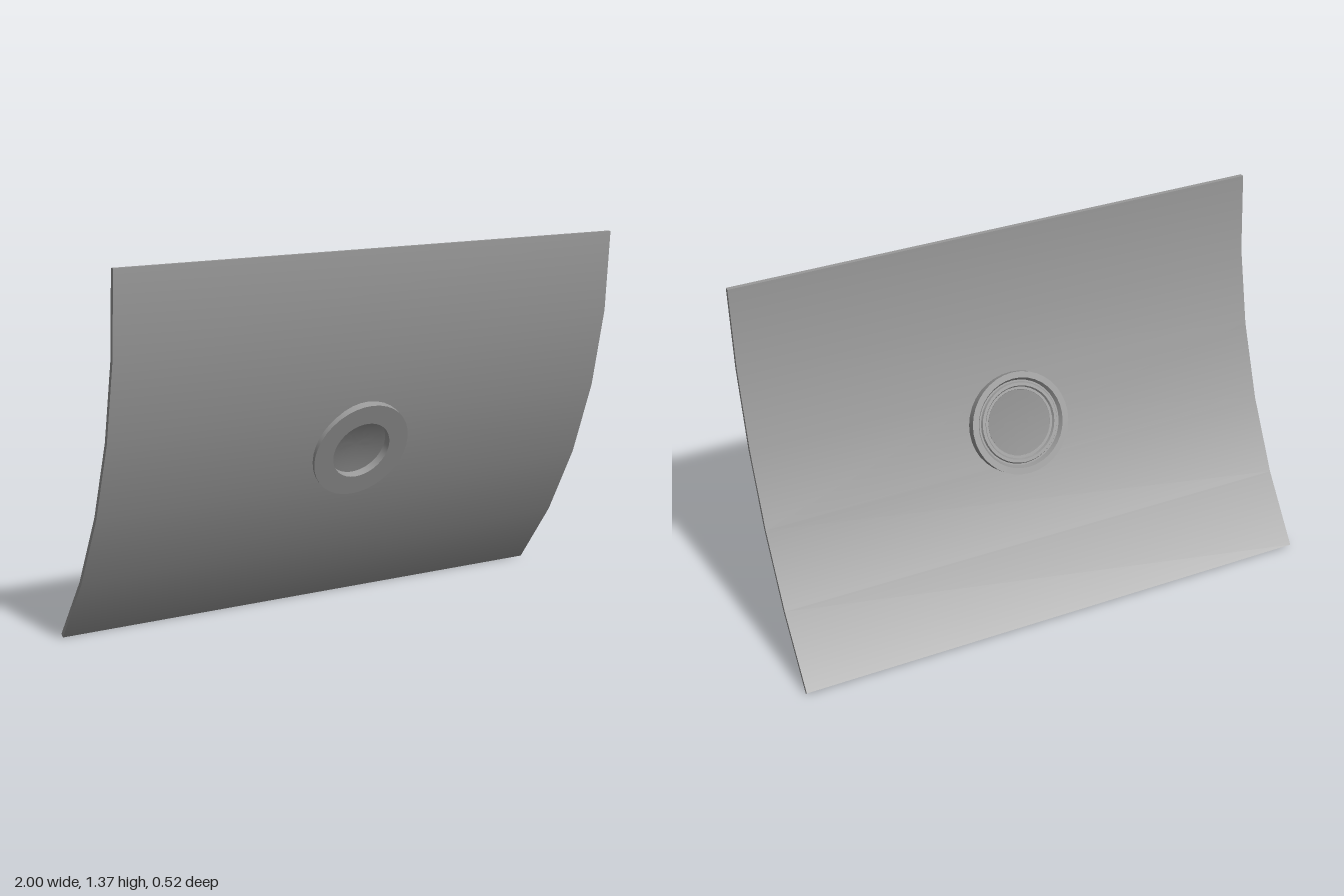
import * as THREE from 'three';
import { mergeGeometries, toCreasedNormals } from 'three/addons/utils/BufferGeometryUtils.js';

const grey = new THREE.MeshStandardMaterial({ color: 0x989898 });
const darkGrey = new THREE.MeshStandardMaterial({ color: 0x828282 });
const OUTER = 2.097, THICK = 0.016, PANELS = 5, STEP = THREE.MathUtils.degToRad(8.16);
const TOP = 1.37, AXIS_Z = 0.26 - OUTER;

// Point on the faceted arc; u counts panels down from the top edge
function place(x, u, r) {
  const i = Math.min(Math.floor(u), PANELS - 1), f = u - i;
  const a = i * STEP, b = a + STEP;
  return new THREE.Vector3(x,
    TOP - r * THREE.MathUtils.lerp(Math.sin(a), Math.sin(b), f),
    AXIS_Z + r * THREE.MathUtils.lerp(Math.cos(a), Math.cos(b), f));
}

// One panel of the front or back skin, with smooth normals along the curve
function skin(i, r, side) {
  const shape = new THREE.Shape([[-1, -i - 1], [1, -i - 1], [1, -i], [-1, -i]]
    .map(([x, y]) => new THREE.Vector2(x, y)));
  if (i === 2) {
    const hole = new THREE.Path();
    hole.absellipse(0, -2.5, 0.14, 0.14 / (2 * OUTER * Math.sin(STEP / 2)), 0, Math.PI * 2, true);
    shape.holes.push(hole);
  }
  const g = new THREE.ShapeGeometry(shape, 32);
  const p = g.attributes.position, n = g.attributes.normal;
  for (let k = 0; k < p.count; k++) {
    const u = Math.max(0, -p.getY(k)), q = place(p.getX(k), u, r);
    p.setXYZ(k, q.x, q.y, q.z);
    n.setXYZ(k, 0, -side * Math.sin(u * STEP), side * Math.cos(u * STEP));
  }
  if (side < 0) g.index.array.reverse();
  const out = g.toNonIndexed();
  out.deleteAttribute('uv');
  return out;
}

// Flat four-cornered edge strip, corners anticlockwise from outside
function quad(a, b, c, d) {
  const g = new THREE.BufferGeometry().setFromPoints([a, b, c, a, c, d]);
  g.computeVertexNormals();
  return g;
}

function curvedPlate() {
  const inner = OUTER - THICK, parts = [];
  for (let i = 0; i < PANELS; i++) {
    parts.push(skin(i, OUTER, 1), skin(i, inner, -1));
    const edge = x => [place(x, i + 1, OUTER), place(x, i + 1, inner), place(x, i, inner), place(x, i, OUTER)];
    parts.push(quad(...edge(1)), quad(...edge(-1).reverse()));
  }
  const rim = u => [place(-1, u, OUTER), place(1, u, OUTER), place(1, u, inner), place(-1, u, inner)];
  parts.push(quad(...rim(0)), quad(...rim(PANELS).reverse()));
  return mergeGeometries(parts);
}

// Turned part, profile as [radius, height along the axis]
function turned(name, profile, material) {
  const g = new THREE.LatheGeometry(profile.map(([r, h]) => new THREE.Vector2(r, h)), 36);
  const mesh = new THREE.Mesh(toCreasedNormals(g, Math.PI / 7), material);
  mesh.name = name;
  return mesh;
}

// Dished face of the pane, from its centre outwards
function dish(centre, edge) {
  return [0, 0.2, 0.4, 0.6, 0.8, 1].map(t => [0.122 * t, centre + (edge - centre) * t * t]);
}

export function createModel() {
  const model = new THREE.Group();
  model.name = 'curvedPanelWithPort';

  const plate = new THREE.Mesh(curvedPlate(), grey);
  plate.name = 'curvedPlate';
  model.add(plate);

  // Round port, leaning slightly more than the middle panel
  const port = new THREE.Group();
  port.name = 'port';
  port.position.copy(place(0, 2.5, OUTER));
  port.rotation.x = THREE.MathUtils.degToRad(90 + 23);
  port.add(turned('portRing', [
    [0.19, -0.054], [0.19, 0.014], [0.114, 0.014], [0.114, -0.03],
    [0.123, -0.038], [0.132, -0.038], [0.137, -0.046], [0.148, -0.046],
    [0.152, -0.038], [0.158, -0.038], [0.167, -0.054], [0.19, -0.054],
  ], grey));

  // Window pane, hollow on both faces
  port.add(turned('windowPane', [...dish(-0.035, -0.038), ...dish(-0.032, -0.014).reverse()], darkGrey));
  model.add(port);
  return model;
}
